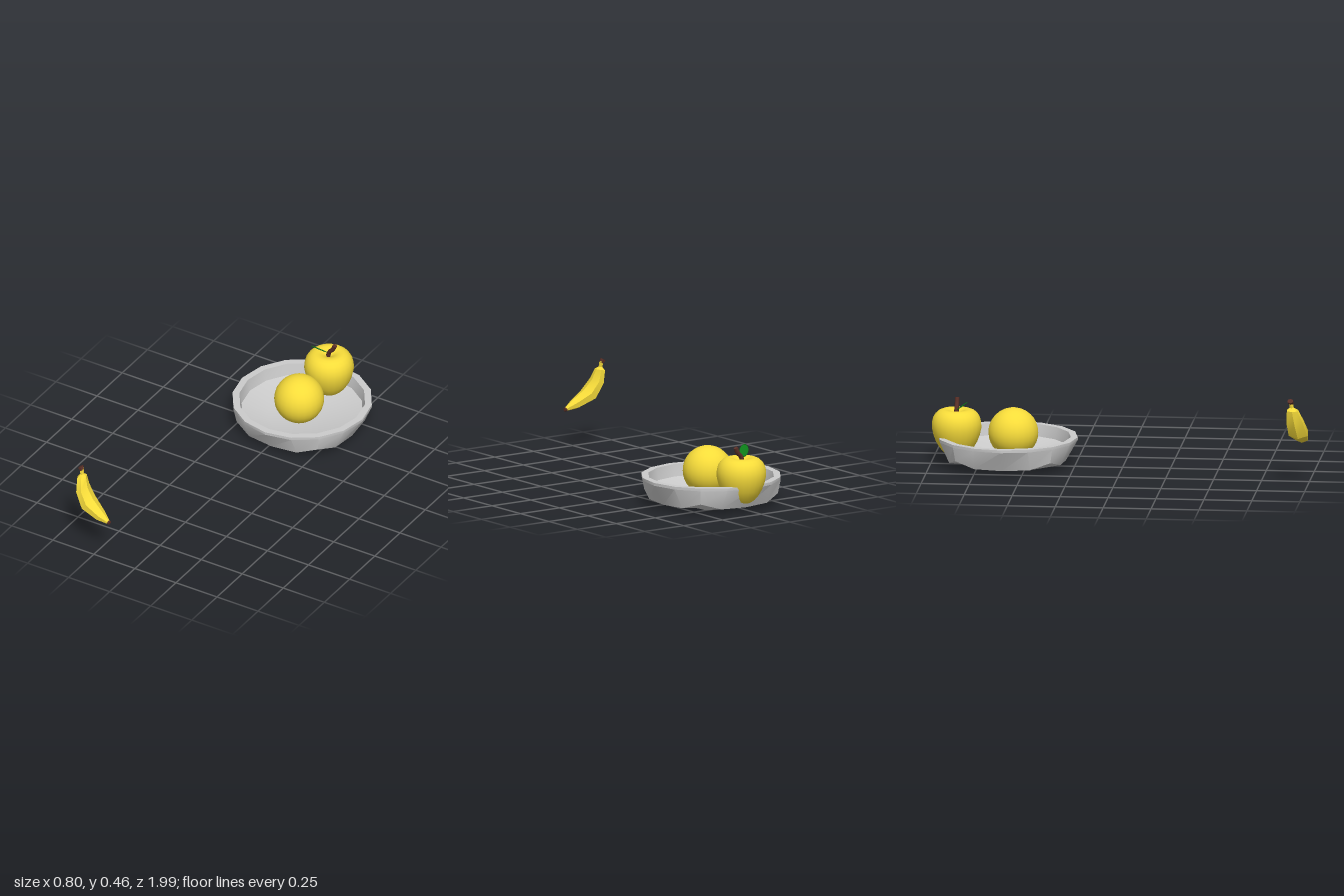
import * as THREE from 'three';
import { toCreasedNormals } from 'three/addons/utils/BufferGeometryUtils.js';

const V = (x, y, z) => new THREE.Vector3(x, y, z);
const paint = (color) => new THREE.MeshStandardMaterial({ color, side: THREE.DoubleSide });

function part(name, geometry, color) {
  const mesh = new THREE.Mesh(geometry, paint(color));
  mesh.name = name;
  return mesh;
}

// Skin over a list of closed rings, all with the same number of points
function loft(rings, crease) {
  const n = rings[0].length;
  const index = [];
  for (let i = 0; i < rings.length - 1; i++) {
    for (let j = 0; j < n; j++) {
      const k = (j + 1) % n;
      const a = i * n + j, b = i * n + k, c = (i + 1) * n + k, d = (i + 1) * n + j;
      index.push(a, d, b, b, d, c);
    }
  }
  const geometry = new THREE.BufferGeometry().setFromPoints(rings.flat());
  geometry.setIndex(index);
  return toCreasedNormals(geometry, crease);
}

// Bowl: rounded-square underside turning into a round rim and a dished floor
function makeBowl() {
  const steps = [...Array(16).keys()];
  const side = (j) => THREE.MathUtils.clamp((4 - Math.min(j, 16 - j)) / 2, -1, 1);
  const under = (s) => steps.map((j) => {
    const u = side(j) * s, v = side((j + 12) % 16) * s;
    return V(
      0.305 * (u - 0.187 * v * v * u ** 3),
      0.025 * (u ** 4 + v ** 4) + 0.01 * u * u * v * v,
      0.305 * (v - 0.187 * u * u * v ** 3));
  });
  const circle = (r, y) => steps.map((j) => {
    const a = j * Math.PI / 8;
    return V(r * Math.cos(a), y, r * Math.sin(a));
  });
  const bowl = part('bowl', loft([
    under(0), under(0.5), under(1),
    circle(0.366, 0.133), circle(0.366, 0.148), circle(0.33, 0.148),
    circle(0.318, 0.085), circle(0.18, 0.045), circle(0, 0.035),
  ], 0.5), 0xcccccc);
  bowl.position.set(0.033, 0, -0.603);
  return bowl;
}

// Banana: tapering sections [x, y, z, radius in plane, radius along z]
function bananaPiece(name, sections, color) {
  const centres = sections.map(([x, y, z]) => V(x, y, z));
  const sides = 6;
  const rings = sections.map(([, , , r, rz], i) => {
    const t = centres[Math.min(i + 1, centres.length - 1)].clone()
      .sub(centres[Math.max(i - 1, 0)]).setZ(0).normalize();
    const out = t.cross(V(0, 0, 1));
    return [...Array(sides).keys()].map((j) => {
      const a = (j * 2 * Math.PI) / sides;
      return centres[i].clone().addScaledVector(out, r * Math.cos(a))
        .add(V(0, 0, rz * Math.sin(a)));
    });
  });
  // close both ends
  const cap = (c) => Array(sides).fill(c);
  rings.unshift(cap(centres[0]));
  rings.push(cap(centres[centres.length - 1]));
  return part(name, loft(rings, 0.6), color);
}

function makeBanana() {
  const banana = new THREE.Group();
  banana.name = 'banana';
  banana.add(
    bananaPiece('bananaSkin', [
      [-0.183, 0.206, 0.966, 0.010, 0.012],
      [-0.235, 0.228, 0.960, 0.027, 0.036],
      [-0.313, 0.272, 0.948, 0.039, 0.056],
      [-0.357, 0.340, 0.935, 0.031, 0.050],
      [-0.370, 0.402, 0.923, 0.025, 0.032],
      [-0.371, 0.416, 0.920, 0.009, 0.012],
      [-0.374, 0.446, 0.916, 0.010, 0.012],
    ], 0xf7dc3a),
    bananaPiece('bananaTip', [
      [-0.173, 0.206, 0.967, 0.010, 0.011],
      [-0.184, 0.206, 0.966, 0.011, 0.013],
    ], 0x5a3028),
    bananaPiece('bananaStem', [
      [-0.372, 0.438, 0.917, 0.010, 0.013],
      [-0.383, 0.454, 0.914, 0.017, 0.016],
    ], 0x5a3028));
  return banana;
}

// Apple: dimpled profile turned about its core, with stem and leaf
function makeApple() {
  const apple = new THREE.Group();
  apple.name = 'apple';
  const profile = new THREE.SplineCurve([
    [0, 0.052], [0.03, 0.041], [0.07, 0.06], [0.108, 0.115], [0.129, 0.185],
    [0.122, 0.24], [0.095, 0.274], [0.06, 0.283], [0.025, 0.27], [0, 0.25],
  ].map(([x, y]) => new THREE.Vector2(x, y))).getPoints(18);
  profile[0].x = profile[18].x = 0;
  apple.add(part('appleBody', new THREE.LatheGeometry(profile, 24), 0xf7dc3a));

  const stemPath = new THREE.CatmullRomCurve3(
    [V(-0.008, 0.245, 0), V(0.002, 0.288, 0), V(0.022, 0.308, 0), V(0.036, 0.338, 0)]);
  apple.add(part('stem', new THREE.TubeGeometry(stemPath, 6, 0.012, 6), 0x5a3028));
  const end = part('stemEnd', new THREE.CircleGeometry(0.012, 6), 0x5a3028);
  end.position.copy(stemPath.getPoint(1));
  end.lookAt(end.position.clone().add(stemPath.getTangent(1)));
  apple.add(end);

  // thin leaf rising to the front and side
  const along = V(-0.065, 0.05, 0.055).normalize();
  const normal = along.clone().cross(V(0.6, 0.45, 0.65)).normalize();
  const across = normal.clone().cross(along);
  const blade = new THREE.SphereGeometry(1, 10, 6);
  blade.scale(0.05, 0.024, 0.003);
  blade.applyMatrix4(new THREE.Matrix4().makeBasis(along, across, normal));
  const leaf = part('leaf', blade, 0x0b7a18);
  leaf.position.set(-0.041, 0.309, 0.033);
  apple.add(leaf);

  apple.position.set(0.033, 0, -0.869);
  return apple;
}

export function createModel() {
  const model = new THREE.Group();
  model.name = 'fruitBowl';
  const orange = part('orange', new THREE.SphereGeometry(0.13, 24, 16), 0xf7dc3a);
  orange.position.set(0.033, 0.167, -0.573);
  model.add(makeBowl(), orange, makeApple(), makeBanana());
  return model;
}
